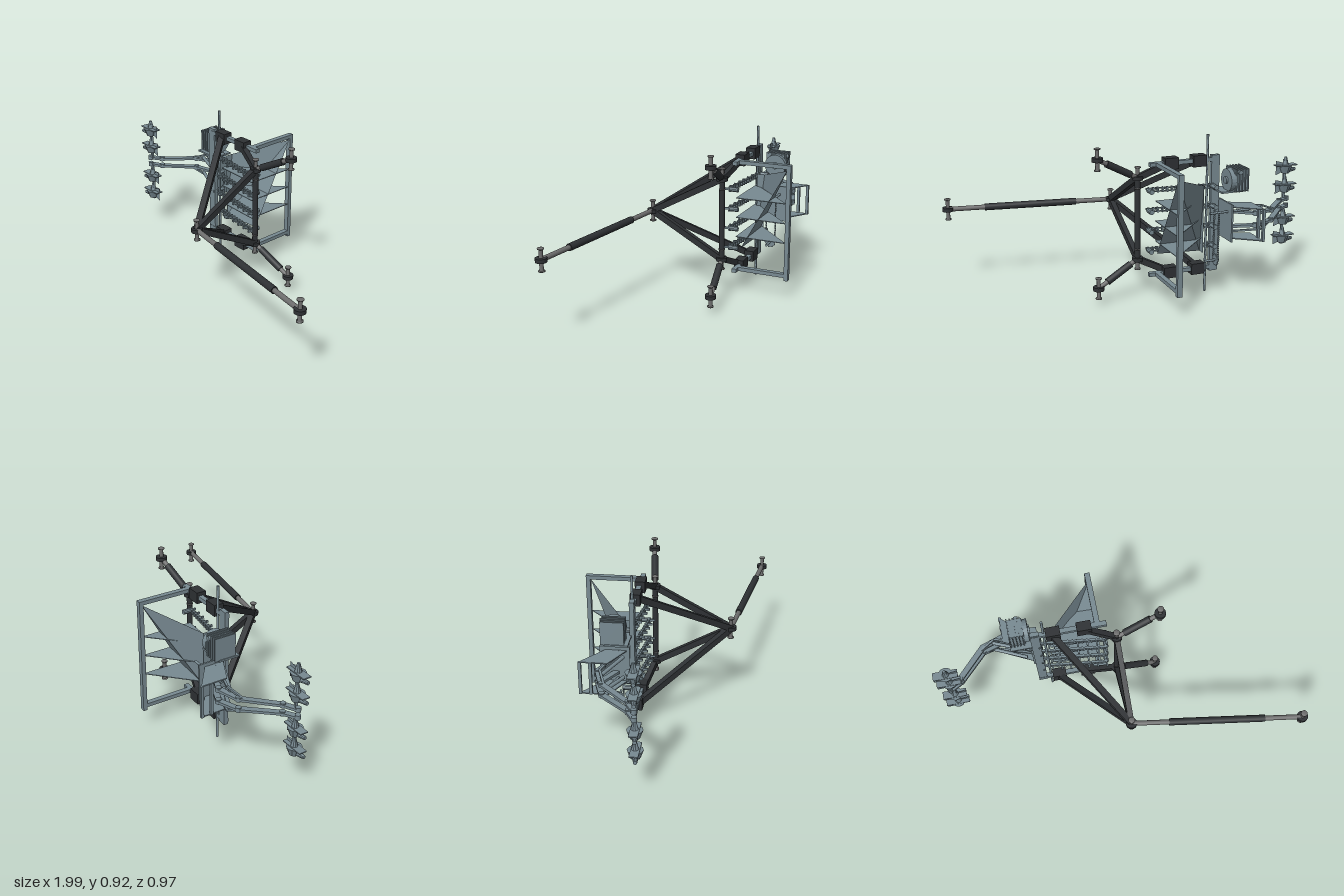
import * as THREE from 'three';

const V = (x, y, z) => new THREE.Vector3(x, y, z);
const mat = (color, flat = false) =>
  new THREE.MeshStandardMaterial({ color, flatShading: flat, side: THREE.DoubleSide });
const steel = mat(0x788a92, true), dark = mat(0x2e3134), pinGrey = mat(0x6e6e6e);
const MID = 0.46; // height of the mirror plane
const flip = (y, s) => MID + s * (y - MID);

export function createModel() {
  const model = new THREE.Group();

  const add = (name, geo, m, p = V(0, 0, 0)) => {
    const mesh = new THREE.Mesh(geo, m);
    mesh.name = name;
    mesh.position.copy(p);
    model.add(mesh);
    return mesh;
  };
  const box = (name, x0, x1, y0, y1, z0, z1, m = steel) =>
    add(name, new THREE.BoxGeometry(x1 - x0, y1 - y0, z1 - z0), m,
      V((x0 + x1) / 2, (y0 + y1) / 2, (z0 + z1) / 2));
  // Square beam between two points
  const beam = (name, a, b, w, h, m) => {
    const mesh = add(name, new THREE.BoxGeometry(w, h, a.distanceTo(b)), m, a.clone().lerp(b, 0.5));
    mesh.lookAt(b);
    return mesh;
  };
  // Round rod between two points
  const rod = (name, a, b, r, m, r2 = r, seg = 16) => {
    const mesh = add(name, new THREE.CylinderGeometry(r2, r, a.distanceTo(b), seg), m, a.clone().lerp(b, 0.5));
    mesh.quaternion.setFromUnitVectors(V(0, 1, 0), b.clone().sub(a).normalize());
    return mesh;
  };
  // Vertical hinge pin with end caps and a central collar
  const pin = (x, y, z) => {
    const h = 0.062;
    const profile = [[0, -h], [0.018, -h], [0.018, -h + 0.006], [0.011, -h + 0.006],
      [0.011, h - 0.006], [0.018, h - 0.006], [0.018, h], [0, h]];
    add('hingePin', new THREE.LatheGeometry(profile.map(p => new THREE.Vector2(...p)), 16), pinGrey, V(x, y, z));
    add('pinCollar', new THREE.CylinderGeometry(0.031, 0.031, 0.022, 20), dark, V(x, y, z));
  };
  // Flat sheet as a fan of corners
  const sheet = (name, pts) => {
    const g = new THREE.BufferGeometry().setFromPoints(pts);
    g.setIndex(pts.slice(2).flatMap((_, i) => [0, i + 1, i + 2]));
    g.computeVertexNormals();
    return add(name, g, steel);
  };

  // Telescopic drawbar
  const hub = V(0.025, MID, 0.31), tip = V(0.965, MID, 0.455);
  const along = (a, b, t) => a.clone().lerp(b, t);
  rod('drawbarRod', hub, tip, 0.014, pinGrey);
  rod('drawbarSleeve', along(hub, tip, 0.22), along(hub, tip, 0.78), 0.02, dark);
  pin(hub.x, hub.y, hub.z);
  pin(tip.x, tip.y, tip.z);

  // Hitch frame, mirrored above and below the drawbar
  rod('hitchPost', V(0.025, 0.21, -0.12), V(0.025, 0.71, -0.12), 0.016, dark);
  for (const s of [1, -1]) {
    const knee = V(0.025, flip(0.695, s), -0.12), end = V(0.27, flip(0.825, s), -0.155);
    beam('longBrace', hub, V(-0.32, flip(0.775, s), -0.165), 0.034, 0.034, dark);
    beam('shortBrace', hub, knee, 0.03, 0.034, dark);
    beam('sideBrace', knee, V(-0.145, flip(0.775, s), -0.165), 0.03, 0.034, dark);
    pin(knee.x, knee.y, knee.z);
    rod('linkRod', knee, end, 0.013, pinGrey);
    rod('linkSleeve', along(knee, end, 0.18), along(knee, end, 0.78), 0.02, dark);
    pin(end.x, end.y, end.z);
    for (const x of [-0.315, -0.145]) {
      const y = flip(0.775, s);
      box('frameClamp', x - 0.04, x + 0.04, y - 0.032, y + 0.032, -0.2, -0.145, dark);
    }
    // Rails of the main frame
    const r = flip(0.776, s);
    box('frontRail', -0.44, -0.02, r - 0.011, r + 0.011, -0.19, -0.163);
    box('sideRail', -0.085, -0.055, r - 0.011, r + 0.011, -0.488, -0.163);
  }
  box('outerPost', -0.44, -0.39, 0.12, 0.8, -0.19, -0.165);
  box('rearPost', -0.085, -0.055, 0.115, 0.787, -0.488, -0.464);
  rod('tallShaft', V(-0.365, 0, -0.185), V(-0.365, 0.92, -0.185), 0.007, steel);

  // Crop guide: sloped back sheets, end plate and triangular row dividers
  const peak = V(-0.06, 0.755, -0.465), low = V(-0.32, 0.255, -0.2);
  sheet('upperGuideSheet', [peak, V(-0.32, 0.645, -0.245), low]);
  sheet('lowerGuideSheet', [peak, low, V(-0.06, 0.27, -0.2)]);
  sheet('guideEndPlate', [low, V(-0.32, 0.255, -0.245), V(-0.32, 0.645, -0.245), V(-0.32, 0.645, -0.2)]);
  for (const y of [0.335, 0.45, 0.565]) {
    const shape = new THREE.Shape([[-0.34, 0.2], [-0.06, 0.468], [-0.06, 0.17], [-0.34, 0.18]]
      .map(p => new THREE.Vector2(...p)));
    const d = add('rowDivider', new THREE.ExtrudeGeometry(shape, { depth: 0.004, bevelEnabled: false }), steel, V(0, y, 0));
    d.rotation.x = -Math.PI / 2;
  }

  // Gathering chains with teeth and end sprockets
  for (const y of [0.28, 0.395, 0.51, 0.625]) {
    const a = V(-0.4, y, -0.19), b = V(-0.03, y, -0.145);
    for (const o of [-0.009, 0.009])
      beam('gatheringChain', a.clone().add(V(0, o, 0)), b.clone().add(V(0, o, 0)), 0.012, 0.005, steel);
    for (let i = 0; i <= 14; i++) {
      const p = along(a, b, i / 14);
      box('chainTooth', p.x - 0.004, p.x + 0.004, y - 0.015, y + 0.015, p.z - 0.008, p.z + 0.008);
      if (i % 2 === 0) box('chainFinger', p.x - 0.005, p.x + 0.005, y - 0.006, y + 0.006, p.z, p.z + 0.03);
    }
    for (const p of [a, b]) rod('chainSprocket', p, p.clone().add(V(0, 0, -0.05)), 0.014, steel, 0.014, 10);
  }

  // Motor with cooling fins, hub and exhaust
  const mx = (x, r, x2, n) => rod(n, V(x, 0.672, -0.265), V(x2, 0.672, -0.265), r, steel, r, 24);
  mx(-0.475, 0.064, -0.445, 'motorCover');
  mx(-0.445, 0.02, -0.435, 'motorHub');
  box('motorBlock', -0.55, -0.47, 0.615, 0.735, -0.315, -0.21);
  for (let i = 0; i < 5; i++) {
    const x = -0.555 + i * 0.018;
    box('coolingFin', x, x + 0.006, 0.61, 0.74, -0.322, -0.2);
  }
  box('motorBase', -0.56, -0.4, 0.605, 0.615, -0.3, -0.18);
  rod('exhaust', V(-0.5, 0.722, -0.29), V(-0.5, 0.722, -0.33), 0.013, steel);

  // Drive sprocket, chain and cross shaft
  const gear = new THREE.Shape();
  for (let i = 0; i < 40; i++) {
    const a = i / 40 * Math.PI * 2, r = i % 4 < 2 ? 0.034 : 0.029;
    gear[i ? 'lineTo' : 'moveTo'](r * Math.cos(a), r * Math.sin(a));
  }
  const g = add('driveSprocket', new THREE.ExtrudeGeometry(gear, { depth: 0.008, bevelEnabled: false }), steel, V(-0.394, 0.212, -0.265));
  g.rotation.y = Math.PI / 2;
  for (let i = 0; i < 24; i++) {
    const y = 0.225 + i * 0.0115;
    for (const z of [-0.238, -0.294]) box('driveChainLink', -0.395, -0.385, y, y + 0.008, z - 0.003, z + 0.003);
  }
  rod('crossShaft', V(-0.33, 0.5, -0.3), V(-0.58, 0.5, -0.3), 0.007, steel);
  rod('sprocketShaft', V(-0.32, 0.212, -0.265), V(-0.41, 0.212, -0.265), 0.007, steel);

  // Lifting bracket behind the outer post
  box('bracketPlate', -0.45, -0.44, 0.335, 0.55, -0.35, -0.19);
  for (const y of [0.345, 0.525]) {
    const s = new THREE.Shape([[-0.6, 0.43], [-0.44, 0.31], [-0.44, 0.2], [-0.6, 0.28]].map(p => new THREE.Vector2(...p)));
    const m = add('bracketGusset', new THREE.ExtrudeGeometry(s, { depth: 0.006, bevelEnabled: false }), steel, V(0, y, 0));
    m.rotation.x = -Math.PI / 2;
  }
  for (const z of [-0.425, -0.37]) box('bracketUpright', -0.605, -0.59, 0.345, 0.53, z - 0.008, z + 0.008);

  // Folding arms, parallel links and row heads, mirrored
  for (const s of [1, -1]) {
    const c = 0.447, y = d => c + s * d;
    const path = [[-0.45, 0.045, -0.26], [-0.6, 0.035, -0.33], [-0.72, 0.03, -0.29], [-0.87, 0.024, -0.13], [-0.94, 0.022, -0.09]]
      .map(([x, d, z]) => V(x, y(d), z));
    for (let i = 0; i < 4; i++) {
      beam('armSection', path[i], path[i + 1], 0.032, 0.014, steel);
      rod('armJoint', path[i + 1].clone().add(V(0, -0.013, 0)), path[i + 1].clone().add(V(0, 0.013, 0)), 0.015, steel);
    }
    beam('outerLink', V(-0.45, y(0.08), -0.25), V(-0.65, y(0.07), -0.31), 0.012, 0.01, steel);
    beam('linkTie', V(-0.65, y(0.07), -0.31), V(-0.74, y(0.03), -0.27), 0.012, 0.01, steel);
    rod('liftCylinder', V(-0.48, y(0.06), -0.22), V(-0.66, y(0.05), -0.3), 0.01, steel);
    beam('headCarrier', V(-0.92, y(0.02), -0.09), V(-0.92, y(0.26), -0.09), 0.014, 0.014, steel);
    for (const d of [0.1, 0.215]) {
      const h = y(d);
      rod('headCone', V(-0.925, h - 0.035, -0.09), V(-0.925, h + 0.01, -0.09), 0.026, steel, 0.042, 10);
      rod('headNeck', V(-0.925, h + 0.01, -0.09), V(-0.925, h + 0.06, -0.09), 0.02, steel, 0.008, 10);
      box('headPlate', -0.995, -0.86, h + 0.008, h + 0.014, -0.112, -0.066);
      rod('headNozzle', V(-0.93, h - 0.02, -0.09), V(-0.995, h - 0.02, -0.08), 0.018, steel, 0.01, 10);
      sheet('headFin', [V(-0.862, h + 0.04, -0.09), V(-0.862, h - 0.045, -0.09), V(-0.93, h - 0.02, -0.09), V(-0.93, h + 0.02, -0.09)]);
    }
  }
  return model;
}
